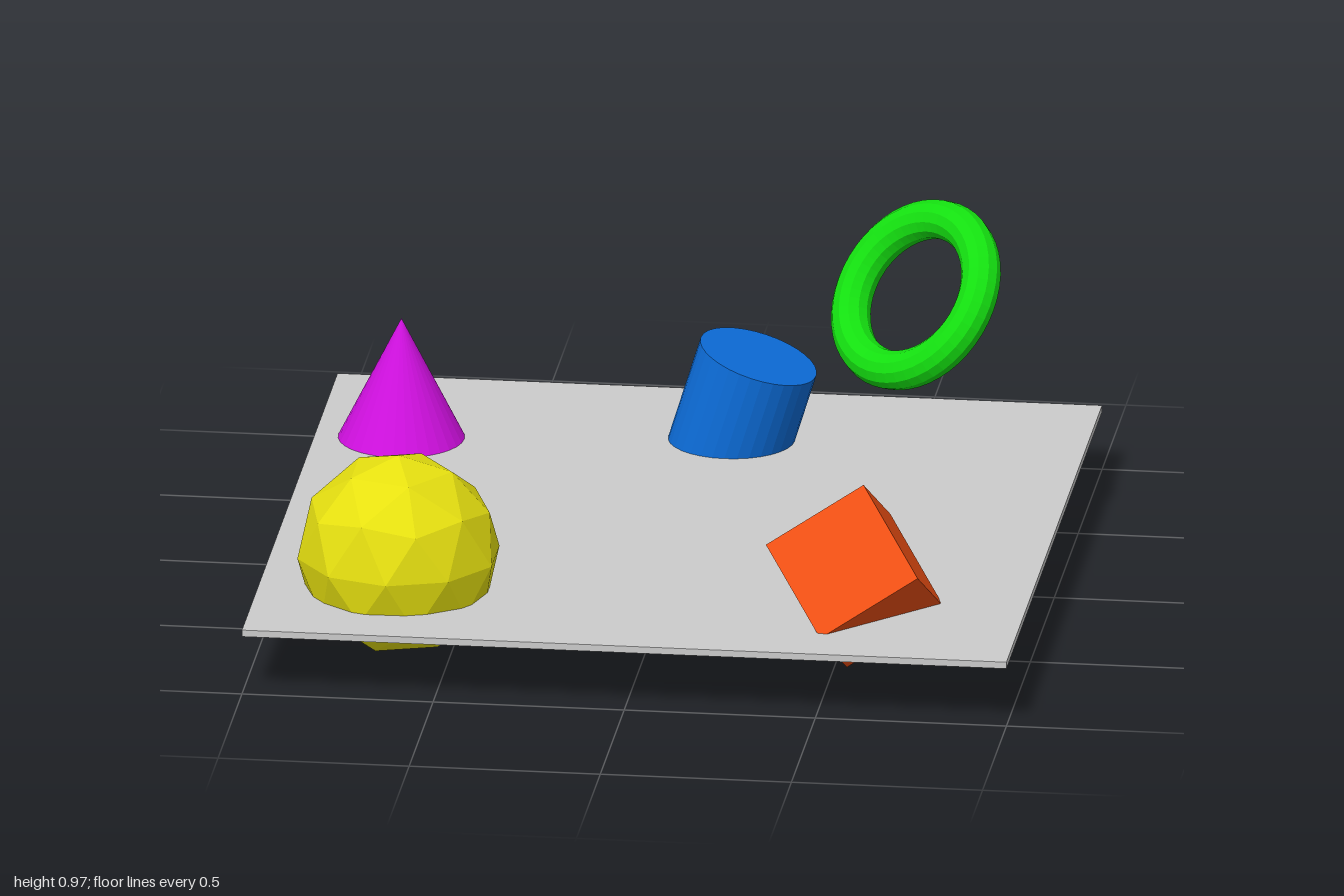
import * as THREE from 'three';

const flat = (color) => new THREE.MeshStandardMaterial({ color, flatShading: true });

export function createModel() {
  const model = new THREE.Group();

  const add = (name, geometry, color, x, y, z) => {
    const mesh = new THREE.Mesh(geometry, flat(color));
    mesh.name = name;
    mesh.position.set(x, y, z);
    model.add(mesh);
    return mesh;
  };

  // Thin square plate that the solids pass through
  add('plate', new THREE.BoxGeometry(2, 0.018, 2), 0xcccccc, 0, 0.175, 0);

  // Faceted ball, turned so that one vertex is at the very top
  const ball = new THREE.IcosahedronGeometry(0.267, 1);
  ball.rotateZ(-Math.atan(2 / (1 + Math.sqrt(5))));
  add('ball', ball, 0xe6e010, -0.64, 0.275, 0.605);

  // Upright cone
  add('cone', new THREE.ConeGeometry(0.197, 0.39, 32), 0xd010e0, -0.775, 0.315, -0.537);

  // Leaning cylinder
  const up = new THREE.Vector3(0, 1, 0);
  const cylinder = add('cylinder', new THREE.CylinderGeometry(0.158, 0.158, 0.365, 32),
    0x0c6cd8, 0.095, 0.241, -0.626);
  cylinder.quaternion.setFromUnitVectors(up, new THREE.Vector3(0.107, 0.348, 0.011).normalize());

  // Cube balanced on a corner, set by two of its edge directions
  const cube = add('cube', new THREE.BoxGeometry(0.298, 0.298, 0.298), 0xf05014, 0.556, 0.265, 0.614);
  const edgeA = new THREE.Vector3(-0.25, -0.155, 0.064).normalize();
  const edgeB = new THREE.Vector3(0.033, -0.166, -0.24);
  edgeB.addScaledVector(edgeA, -edgeA.dot(edgeB)).normalize();
  const edgeC = new THREE.Vector3().crossVectors(edgeA, edgeB);
  cube.quaternion.setFromRotationMatrix(new THREE.Matrix4().makeBasis(edgeA, edgeB, edgeC));

  // Floating tilted ring
  const ring = add('ring', new THREE.TorusGeometry(0.211, 0.052, 12, 48), 0x14e010, 0.613, 0.755, -0.2);
  ring.quaternion.setFromUnitVectors(new THREE.Vector3(0, 0, 1),
    new THREE.Vector3(0.523, -0.58, -0.616).normalize());

  return model;
}
